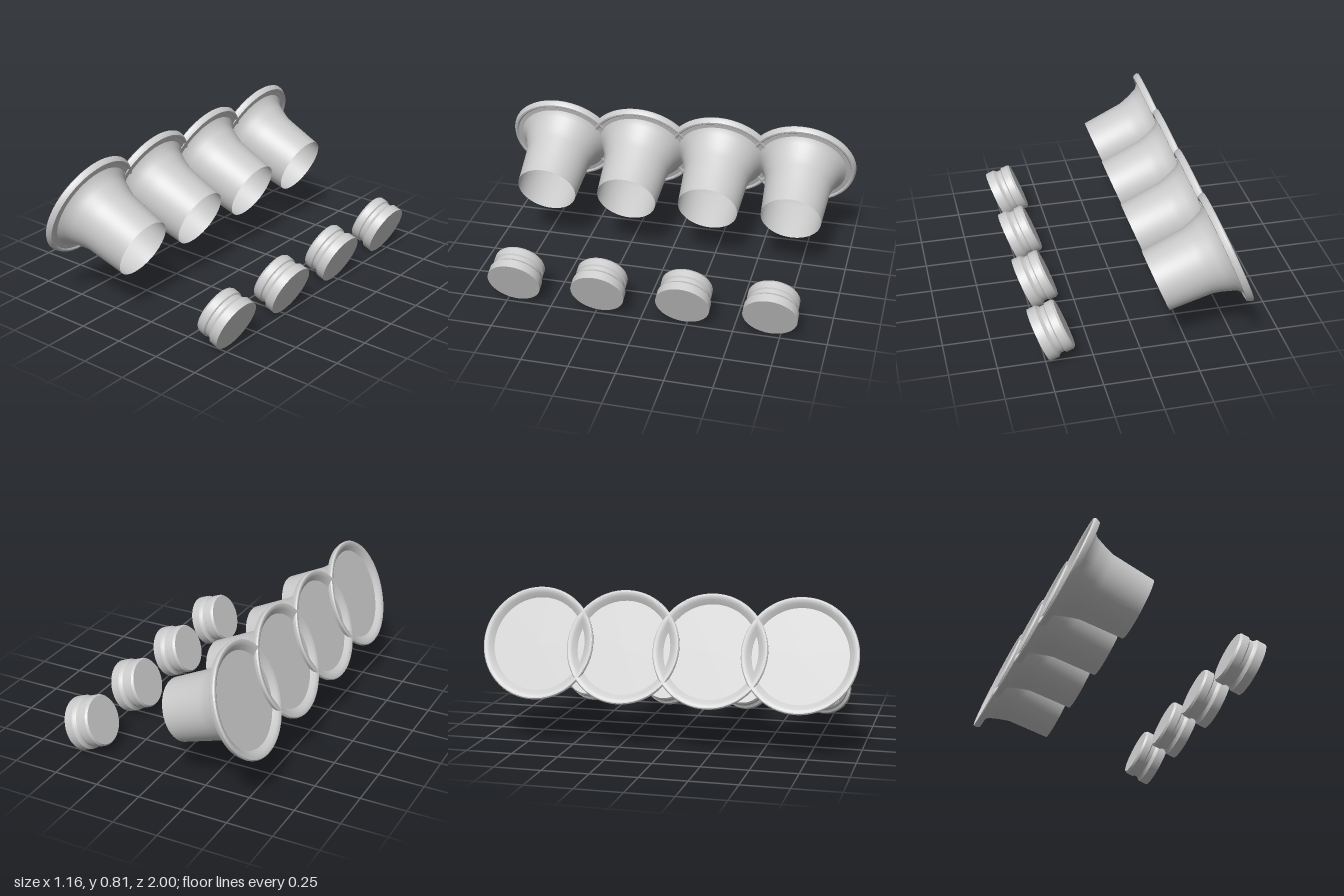
import * as THREE from 'three';
import { toCreasedNormals } from 'three/addons/utils/BufferGeometryUtils.js';

const TILT = THREE.MathUtils.degToRad(-112); // turns the lathe axis towards +x and down
const SEGMENTS = 64;

// Lathe from [radius, distance along axis] pairs
function lathe(profile, crease = 0.6) {
  const points = profile.map(([r, s]) => new THREE.Vector2(r, s));
  return toCreasedNormals(new THREE.LatheGeometry(points, SEGMENTS), crease);
}

export function createModel() {
  const model = new THREE.Group();
  const grey = new THREE.MeshStandardMaterial({ color: 0xcccccc, side: THREE.DoubleSide });
  grey.name = 'light grey';

  // Flared open tube
  const tube = lathe([[0.25, 0.027], [0.223, 0.052], [0.208, 0.09], [0.194, 0.13], [0.183, 0.17], [0.167, 0.406]], 0.8);
  // Rolled lip around the mouth
  const lip = lathe([[0.25, 0.022], [0.272, 0.003], [0.289, -0.006], [0.298, -0.005], [0.303, 0.002], [0.302, 0.012],
    [0.293, 0.031], [0.283, 0.032], [0.275, 0.026], [0.25, 0.028]], 0.7);
  // Flat cover set into the mouth
  const cover = lathe([[0, 0.022], [0.252, 0.022]]);
  // Grooved plug, its large face at distance 0
  const plug = lathe([[0, -0.144], [0.13, -0.144], [0.138, -0.132], [0.138, -0.094], [0.13, -0.088], [0.13, -0.066],
    [0.138, -0.054], [0.145, -0.048], [0.145, 0], [0, 0]], 0.4);

  function place(name, parts, x, y, z) {
    const group = new THREE.Group();
    group.name = name;
    group.position.set(x, y, z);
    group.rotation.z = TILT;
    for (const [partName, geometry] of parts) {
      const mesh = new THREE.Mesh(geometry, grey);
      mesh.name = partName;
      group.add(mesh);
    }
    model.add(group);
  }

  // Four trumpets in a row, each with its plug
  for (let i = 0; i < 4; i++) {
    const z = (i - 1.5) * 0.465;
    place('trumpet', [['flaredTube', tube], ['mouthLip', lip], ['mouthCover', cover]], -0.465, 0.535, z);
    place('plug', [['groovedPlug', plug]], 0.5225, 0.1375, z);
  }
  return model;
}
